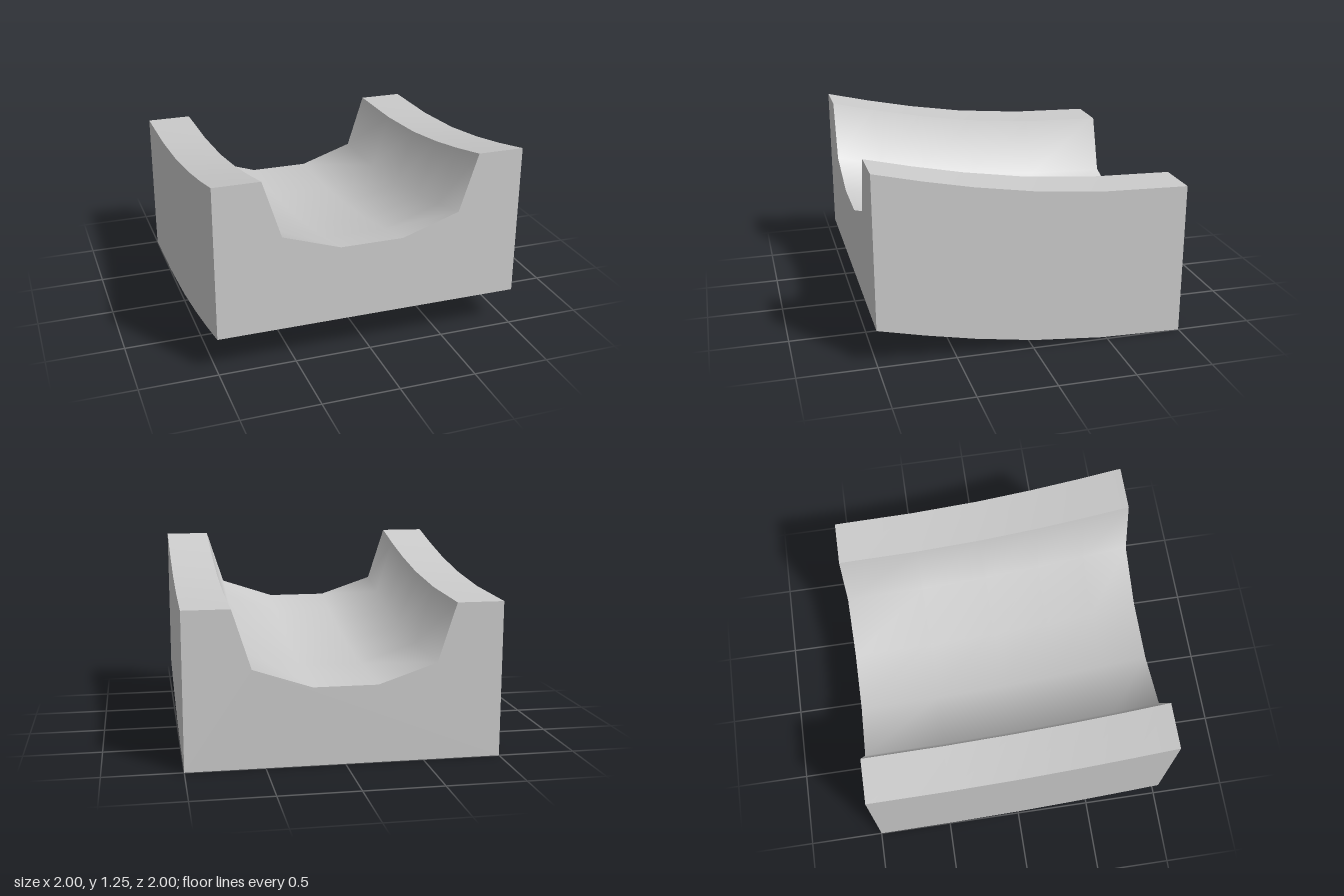
import * as THREE from 'three';
import { toCreasedNormals } from 'three/addons/utils/BufferGeometryUtils.js';

export function createModel() {
  const group = new THREE.Group();
  group.name = 'curvedChannel';

  // Cross-section: a block with a faceted trough, one half mirrored
  const half = [[1, 0], [1, 1], [0.7, 1], [0.58, 0.625], [0.205, 0.5]];
  const mirrored = half.map(([x, y]) => [-x, y]).reverse();
  const section = new THREE.Shape([...half, ...mirrored].map(([x, y]) => new THREE.Vector2(x, y)));

  // Stations from back to front: [z, lift], the block sweeps up to the front
  const stations = [[-1, 0], [-0.46, 0.014], [0, 0.055], [0.38, 0.115], [0.7, 0.18], [1, 0.25]];
  const steps = stations.length - 1;
  const geometry = new THREE.ExtrudeGeometry(section, { depth: steps, steps, bevelEnabled: false });
  const pos = geometry.attributes.position;
  for (let i = 0; i < pos.count; i++) {
    const [z, lift] = stations[Math.round(pos.getZ(i))];
    pos.setY(i, pos.getY(i) + lift);
    pos.setZ(i, z);
  }

  // Smooth trough and sweep, sharp block edges
  const channel = new THREE.Mesh(
    toCreasedNormals(geometry, 1.1),
    new THREE.MeshStandardMaterial({ color: 0xcccccc })
  );
  channel.name = 'channelBlock';
  group.add(channel);
  return group;
}
